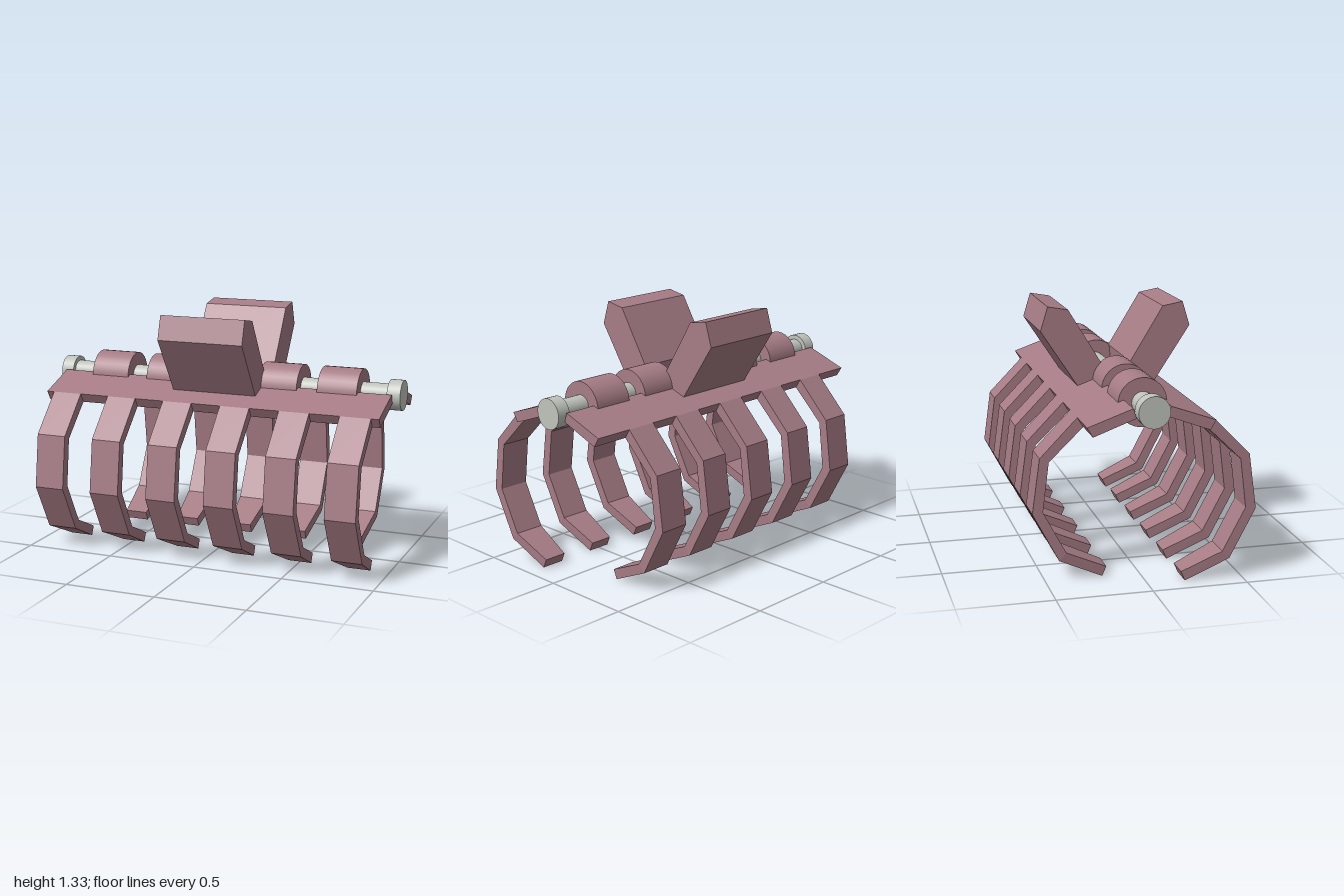
import * as THREE from 'three';

const mauve = new THREE.MeshStandardMaterial({ color: 0xa67c85 });
mauve.name = 'mauvePlastic';
const steel = new THREE.MeshStandardMaterial({ color: 0xc0c3bc });
steel.name = 'paleSteel';

const AXIS_Y = 0.925;

// Side profile given as [z, y] points, extruded along x and centred on x = 0
function sideExtrude(points, width) {
  const shape = new THREE.Shape(points.map(([z, y]) => new THREE.Vector2(z, y)));
  const geo = new THREE.ExtrudeGeometry(shape, { depth: width, bevelEnabled: false });
  geo.translate(0, 0, -width / 2);
  geo.rotateY(-Math.PI / 2);
  return geo;
}

function addMesh(parent, name, geo, material, x = 0, y = 0) {
  const mesh = new THREE.Mesh(geo, material);
  mesh.name = name;
  mesh.position.set(x, y, 0);
  parent.add(mesh);
  return mesh;
}

// Cylinder lying along x
function axle(radius, length) {
  return new THREE.CylinderGeometry(radius, radius, length, 32).rotateZ(Math.PI / 2);
}

const plateGeo = sideExtrude([[0.097, 0.943], [0.08, 0.892], [0.3, 0.81], [0.33, 0.86]], 1.92);

const handleGeo = sideExtrude(
  [[0.41, 1.205], [0.37, 1.335], [0.26, 1.315], [0.08, 1.02], [0.09, 0.925], [0.21, 0.9]], 0.48);

const toothGeo = sideExtrude([
  [0.33, 0.86], [0.525, 0.66], [0.565, 0.37], [0.428, 0.11],
  [0.39, 0.15], [0.51, 0.377], [0.478, 0.637], [0.3, 0.81],
], 0.167);

// Tooth tip narrows toward its free end
const tipGeo = sideExtrude([[0.428, 0.11], [0.198, 0.002], [0.176, 0.052], [0.39, 0.15]], 0.167);
const tipPos = tipGeo.attributes.position;
for (let i = 0; i < tipPos.count; i++) {
  if (tipPos.getY(i) < 0.08) tipPos.setX(i, tipPos.getX(i) * 0.77);
}
tipGeo.computeVertexNormals();

// One half of the claw: plate, handle and a row of teeth
function buildJaw(name, toothCount) {
  const jaw = new THREE.Group();
  jaw.name = name;
  addMesh(jaw, 'plate', plateGeo, mauve);
  addMesh(jaw, 'handle', handleGeo, mauve);
  for (let i = 0; i < toothCount; i++) {
    const x = (i - (toothCount - 1) / 2) / 3;
    addMesh(jaw, 'tooth', toothGeo, mauve, x);
    addMesh(jaw, 'toothTip', tipGeo, mauve, x);
  }
  return jaw;
}

export function createModel() {
  const model = new THREE.Group();
  model.name = 'clawClip';

  model.add(buildJaw('frontJaw', 6));
  const backJaw = buildJaw('backJaw', 5);
  backJaw.rotation.y = Math.PI;
  model.add(backJaw);

  // Hinge pin with end caps and knuckles
  addMesh(model, 'hingePin', axle(0.057, 1.9), steel, 0, AXIS_Y);
  for (const side of [-1, 1]) {
    addMesh(model, 'pinCap', axle(0.082, 0.073), steel, side * 0.9635, AXIS_Y);
    for (const x of [0.332, 0.667]) {
      addMesh(model, 'knuckle', axle(0.128, 0.22), mauve, side * x, AXIS_Y);
    }
  }
  return model;
}
